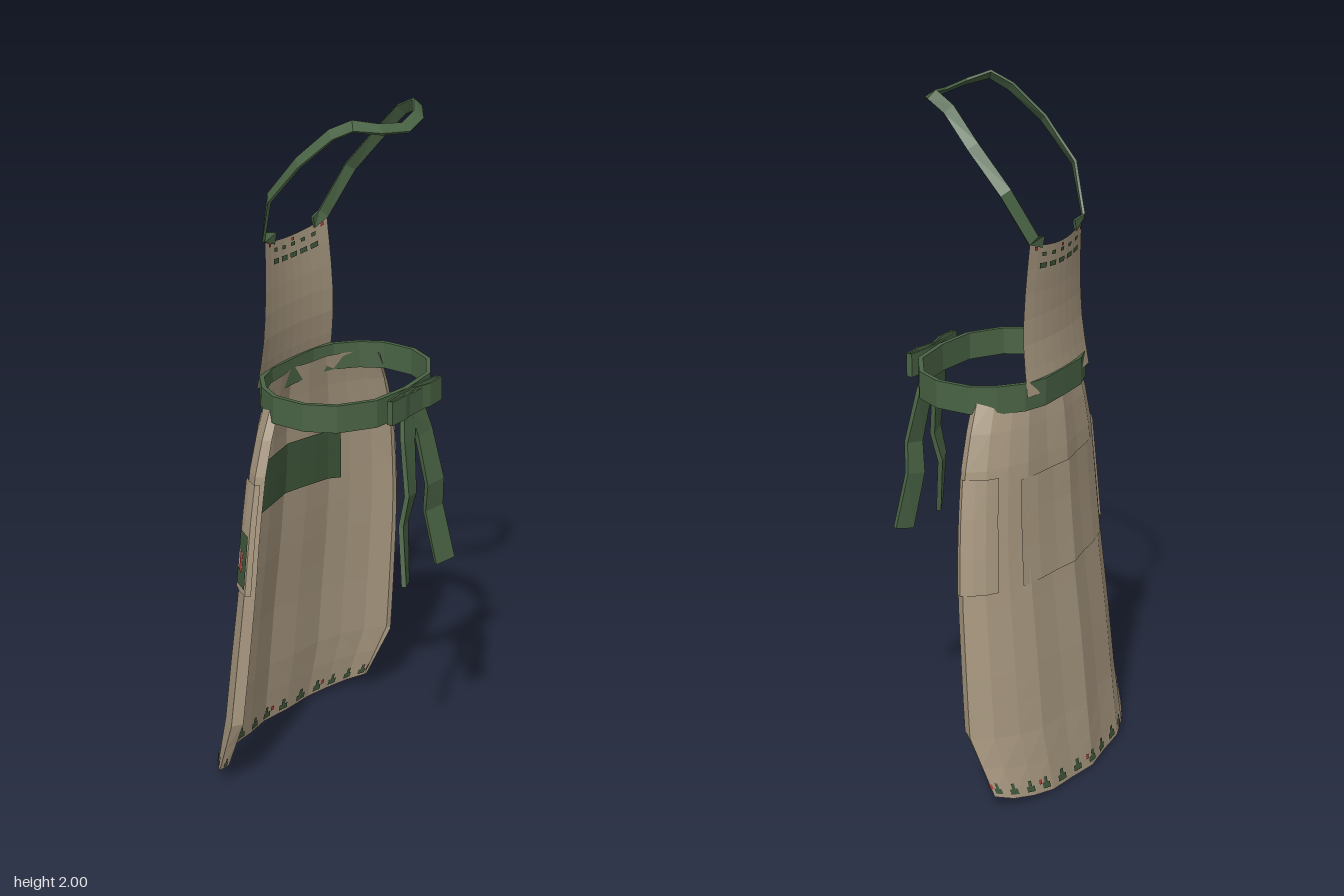
import * as THREE from 'three';

const mat = (name, color) => {
  const m = new THREE.MeshStandardMaterial({ color, flatShading: true, side: THREE.DoubleSide });
  m.name = name;
  return m;
};
const V = (x, y, z) => new THREE.Vector3(x, y, z);

// Piecewise linear lookup: rows of [key, a, b, ...] with rising keys
function lookup(rows, k) {
  let i = 0;
  while (i < rows.length - 2 && k > rows[i + 1][0]) i++;
  const f = (k - rows[i][0]) / (rows[i + 1][0] - rows[i][0]);
  return rows[i].slice(1).map((a, j) => a + (rows[i + 1][j + 1] - a) * f);
}

// Sheet over a grid of fn(s, t)
function sheet(fn, [s0, s1], [t0, t1], ns, nt) {
  const pos = [], idx = [];
  for (let j = 0; j <= nt; j++)
    for (let i = 0; i <= ns; i++)
      pos.push(...fn(s0 + (s1 - s0) * i / ns, t0 + (t1 - t0) * j / nt).toArray());
  for (let j = 0; j < nt; j++)
    for (let i = 0; i < ns; i++) {
      const a = j * (ns + 1) + i, b = a + ns + 1;
      idx.push(a, b, a + 1, a + 1, b, b + 1);
    }
  const g = new THREE.BufferGeometry();
  g.setAttribute('position', new THREE.Float32BufferAttribute(pos, 3));
  g.setIndex(idx);
  g.computeVertexNormals();
  return g;
}

// Flat strap with a box section; across gives the width direction at each point
function strap(pts, across, width, thick, closed = false) {
  const pos = [], idx = [], n = pts.length;
  pts.forEach((p, i) => {
    const prev = closed ? pts[(i + n - 1) % n] : pts[Math.max(i - 1, 0)];
    const next = closed ? pts[(i + 1) % n] : pts[Math.min(i + 1, n - 1)];
    const tan = next.clone().sub(prev).normalize();
    const nor = tan.clone().cross(across(i / (n - 1))).normalize();
    const w = nor.clone().cross(tan).normalize();
    for (const [a, b] of [[-1, -1], [1, -1], [1, 1], [-1, 1]])
      pos.push(...p.clone().addScaledVector(w, a * width / 2).addScaledVector(nor, b * thick / 2).toArray());
  });
  for (let i = 0; i < (closed ? n : n - 1); i++)
    for (let k = 0; k < 4; k++) {
      const a = i * 4 + k, b = i * 4 + (k + 1) % 4;
      const c = ((i + 1) % n) * 4 + k, d = ((i + 1) % n) * 4 + (k + 1) % 4;
      idx.push(a, b, c, b, d, c);
    }
  if (!closed) {
    const e = (n - 1) * 4;
    idx.push(0, 2, 1, 0, 3, 2, e, e + 1, e + 2, e, e + 2, e + 3);
  }
  const g = new THREE.BufferGeometry();
  g.setAttribute('position', new THREE.Float32BufferAttribute(pos, 3));
  g.setIndex(idx);
  g.computeVertexNormals();
  return g;
}

// Skirt rows: height, half width, edge z, middle z
const skirtRows = [
  [0, 0.37, -0.16, -0.297], [0.2, 0.395, -0.085, -0.275], [0.4, 0.385, -0.07, -0.255],
  [0.65, 0.37, -0.05, -0.225], [0.82, 0.355, -0.045, -0.21], [1.0, 0.328, -0.04, -0.2],
  [1.1, 0.295, -0.04, -0.19], [1.19, 0.255, -0.04, -0.178],
];
// Half cross-section: position, share of half width, share of depth
const section = [[0, 0, 0], [1, 0.25, 0.1], [2, 0.53, 0.16], [3, 0.72, 0.33], [4, 0.89, 0.56], [5, 1, 0.85], [6, 0.95, 1]];

function skirtAt(t, h) {
  const [hx, ze, zm] = lookup(skirtRows, h);
  const [u, v] = lookup(section, Math.abs(t) * 6);
  const lift = 0.055 * t * t * Math.max(0, 1 - h / 0.4);
  return V(Math.sign(t) * u * hx, h + lift, zm + (ze - zm) * v);
}
const bibRows = [[1.18, 0.176, -0.19], [1.3, 0.168, -0.172], [1.42, 0.16, -0.168], [1.52, 0.152, -0.172], [1.61, 0.146, -0.178]];
function bibAt(t, h) {
  const [hx, z] = lookup(bibRows, h);
  const dip = 0.022 * (1 - t * t) * Math.max(0, (h - 1.42) / 0.19);
  return V(t * hx, h - dip, z + 0.018 * t * t);
}
// Same surface moved outwards (away from the wearer) by d
const offset = (fn, d) => (t, h) => {
  const e = 0.01;
  const a = fn(t + (t > 0.9 ? 0 : e), h).sub(fn(t - (t < -0.9 ? 0 : e), h));
  const b = fn(t, h + e).sub(fn(t, h - e));
  return fn(t, h).addScaledVector(b.cross(a).normalize(), d);
};

export function createModel() {
  const root = new THREE.Group();
  root.name = 'apron';
  const cloth = mat('beige cloth', 0xa89880);
  const green = mat('green strap', 0x4a6445);
  const dark = mat('dark green print', 0x40583b);
  const red = mat('red print', 0xb0403a);
  const pale = mat('pale print', 0xbcae96);
  const add = (name, geo, m, parent = root) => {
    const mesh = new THREE.Mesh(geo, m);
    mesh.name = name;
    parent.add(mesh);
    return mesh;
  };

  // Cloth panels
  add('skirt', sheet(skirtAt, [-1, 1], [0, 1.19], 12, 12), cloth);
  add('bib', sheet(bibAt, [-1, 1], [1.18, 1.61], 8, 6), cloth);

  // Pockets on the outside and the green lining inside
  for (const s of [-1, 1])
    add('sidePocket', sheet(offset(skirtAt, 0.007), [s * 0.58, s * 0.93], [0.64, 0.97], 4, 3), cloth);
  add('frontPocket', sheet(offset(skirtAt, 0.005), [-0.4, 0.4], [0.64, 0.95], 6, 3), cloth);
  add('pocketLining', sheet((t, h) => offset(skirtAt, -0.005)(t, h - 0.1 * t * t), [-0.42, 0.42], [0.79, 0.95], 8, 2), dark);

  // Small label on one side pocket
  const label = new THREE.Group();
  label.name = 'pocketLabel';
  root.add(label);
  const tag = (name, m, t, h, d) => add(name, sheet(offset(skirtAt, d), t, h, 1, 1), m, label);
  tag('labelBase', dark, [-0.84, -0.7], [0.66, 0.82], 0.011);
  tag('labelPale', pale, [-0.83, -0.72], [0.71, 0.77], 0.013);
  tag('labelRed', red, [-0.83, -0.78], [0.71, 0.77], 0.015);

  // Printed borders on both faces of the hem and the bib top
  for (const d of [-0.004, 0.004]) {
    for (let i = -7; i <= 7; i++) {
      const t = i / 7.7;
      const hem = offset(skirtAt, d);
      add('hemLeaf', sheet(hem, [t - 0.03, t + 0.03], [0.014, 0.032], 1, 1), dark);
      add('hemStem', sheet(hem, [t - 0.012, t + 0.012], [0.032, 0.05], 1, 1), dark);
      if (i % 3 === 0) add('hemBerry', sheet(hem, [t + 0.035, t + 0.055], [0.03, 0.045], 1, 1), red);
    }
    const top = offset(bibAt, d);
    for (let i = -2; i <= 2; i++) {
      const t = i * 0.3;
      add('bibLeaf', sheet(top, [t - 0.1, t + 0.1], [1.54, 1.556], 1, 1), dark);
      add('bibSprig', sheet(top, [t - 0.06, t + 0.06], [1.577, 1.589], 1, 1), dark);
      if (i % 2 === 0) add('bibBerry', sheet(top, [t * 1.4 - 0.04, t * 1.4 + 0.04], [1.594, 1.604], 1, 1), red);
    }
  }

  // Waist belt
  const half = [[0, -0.183], [0.1, -0.181], [0.17, -0.158], [0.23, -0.105], [0.267, -0.04],
    [0.267, 0.06], [0.225, 0.14], [0.13, 0.203], [0, 0.217]];
  const ring = [...half, ...half.slice(1, -1).reverse().map(([x, z]) => [-x, z])];
  const up = () => V(0, 1, 0);
  add('belt', strap(ring.map(([x, z]) => V(x, 1.18, z)), up, 0.08, 0.014, true), green);

  // Bow with loops and hanging tails
  const bow = new THREE.Group();
  bow.name = 'bow';
  root.add(bow);
  add('knot', new THREE.BoxGeometry(0.07, 0.065, 0.03), green, bow).position.set(0, 1.183, 0.236);
  for (const s of [-1, 1]) {
    const loop = [[0, 0.24], [0.06, 0.255], [0.122, 0.252], [0.122, 0.24], [0.06, 0.232], [0, 0.228]];
    add('bowLoop', strap(loop.map(([x, z]) => V(s * x, 1.187, z)), up, 0.07, 0.006), green, bow);
    const tail = [[0.015, 1.17, 0.235], [0.04, 1.08, 0.25], [0.06, 0.93, 0.275], [0.075, 0.84, 0.262], [0.1, 0.67, 0.288]];
    add('bowTail', strap(tail.map(([x, y, z]) => V(s * x, y, z)), k => V(1, 0, s * 0.5 * k), 0.062, 0.014), green, bow);
  }

  // Neck strap running from one bib corner round the neck to the other
  const side = [[0.09, 1.605, -0.168], [0.14, 1.62, -0.168], [0.19, 1.755, -0.11], [0.192, 1.87, -0.01],
    [0.165, 1.955, 0.08], [0.152, 1.985, 0.14], [0.09, 1.97, 0.185]];
  const neck = [...side, [0, 1.958, 0.205], ...side.slice().reverse().map(([x, y, z]) => [-x, y, z])];
  const lean = k => {
    const c = k * 2 - 1;
    return Math.abs(c) > 0.92 ? V(0, 1, 0) : V(c * 0.9, 0.55, -0.75 + 0.3 * Math.abs(c));
  };
  add('neckStrap', strap(neck.map(p => V(...p)), lean, 0.034, 0.008), green);

  return root;
}
